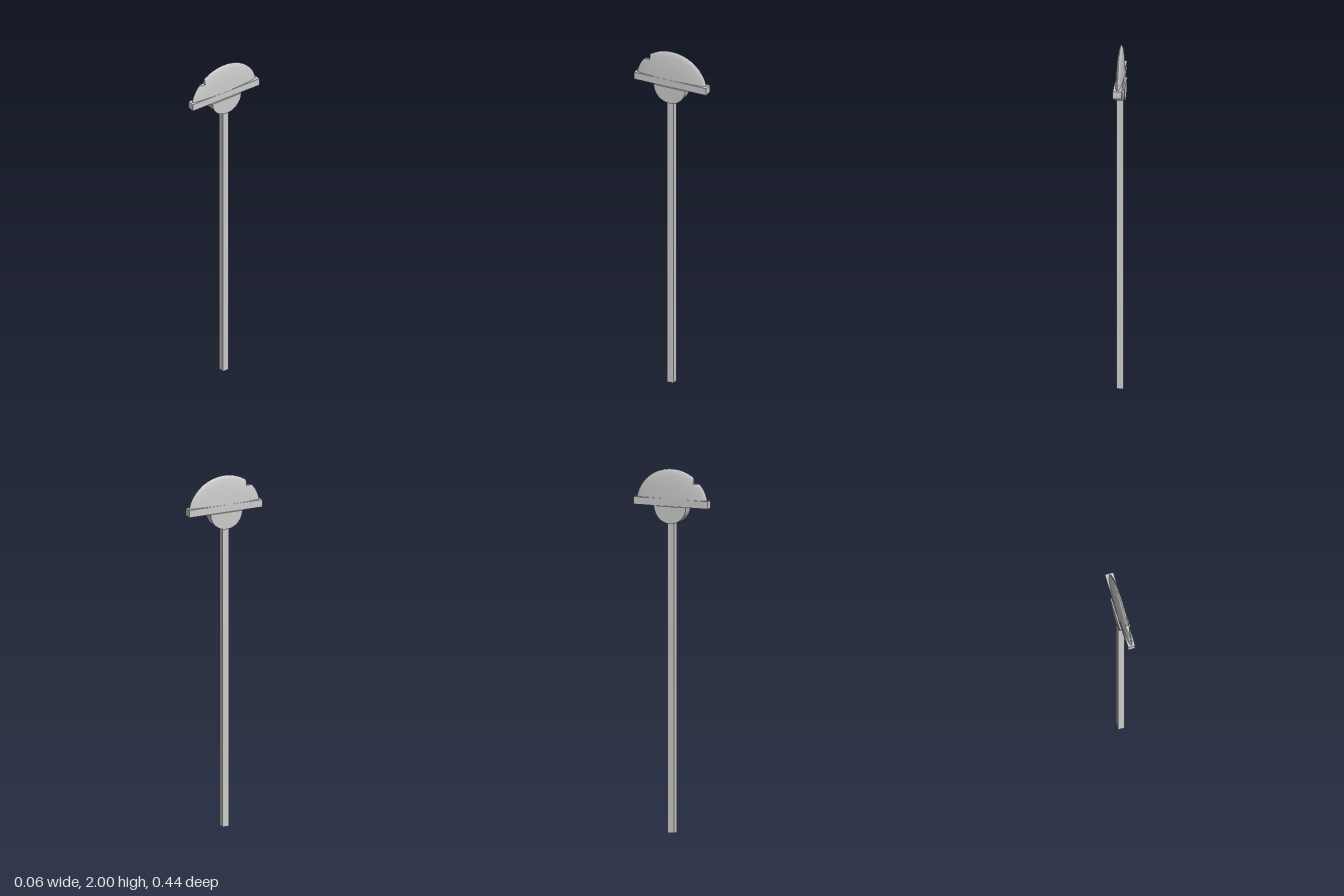
import * as THREE from 'three';
import { toCreasedNormals } from 'three/addons/utils/BufferGeometryUtils.js';

const grey = new THREE.MeshStandardMaterial({ color: 0xcccccc, side: THREE.DoubleSide });

function add(group, name, geometry, x = 0, y = 0, z = 0) {
  const mesh = new THREE.Mesh(geometry, grey);
  mesh.name = name;
  mesh.position.set(x, y, z);
  group.add(mesh);
}

// Thin half-ellipsoid lofted along z, with a flat step cut near the front
function bladeGeometry() {
  const W = 0.022, H = 0.2, L = 0.214, STEP = 0.127, NOTCH = 0.13, SIDE = 24, RINGS = 48;
  const stations = [];
  for (let i = 0; i <= RINGS; i++) {
    const z = -L * Math.cos((Math.PI * i) / RINGS);
    stations.push({ z, cut: z > NOTCH });
  }
  stations.push({ z: NOTCH, cut: false }, { z: NOTCH + 1e-5, cut: true });
  stations.sort((a, b) => a.z - b.z);

  const positions = [], index = [], row = 2 * SIDE + 2;
  for (const { z, cut } of stations) {
    const s = Math.sqrt(Math.max(0, 1 - (z / L) ** 2));
    const top = cut && H * s > STEP ? Math.asin(STEP / (H * s)) : Math.PI / 2;
    for (let j = 0; j < row; j++) {
      const right = j <= SIDE;
      const a = (top * (right ? j : row - 1 - j)) / SIDE;
      positions.push((right ? 1 : -1) * W * s * Math.cos(a), H * s * Math.sin(a), z);
    }
  }
  for (let i = 0; i < stations.length - 1; i++) {
    for (let j = 0; j < row - 1; j++) {
      const a = i * row + j, c = a + row;
      index.push(a, a + 1, c, a + 1, c + 1, c);
    }
  }
  const g = new THREE.BufferGeometry();
  g.setAttribute('position', new THREE.Float32BufferAttribute(positions, 3));
  g.setIndex(index);
  return toCreasedNormals(g, Math.PI / 4);
}

export function createModel() {
  const group = new THREE.Group();
  group.name = 'poleWithCrescentHead';

  // Square pole
  add(group, 'pole', new THREE.BoxGeometry(0.038, 1.72, 0.038), 0, 0.86, 0);

  // Half-round hub under the bar
  const half = new THREE.Shape();
  half.moveTo(-0.095, 0);
  half.absarc(0, 0, 0.095, Math.PI, Math.PI * 2, false);
  half.closePath();
  const hub = new THREE.ExtrudeGeometry(half, { depth: 0.061, bevelEnabled: false, curveSegments: 32 });
  hub.translate(0, 0, -0.0305);
  hub.rotateY(Math.PI / 2);
  add(group, 'hub', toCreasedNormals(hub, Math.PI / 6), 0, 1.796, 0);

  // Cross bar, slightly narrower at the front
  const bar = new THREE.BoxGeometry(0.04, 0.042, 0.44);
  const p = bar.attributes.position;
  for (let i = 0; i < p.count; i++) if (p.getZ(i) < 0) p.setX(i, p.getX(i) * 1.22);
  bar.computeVertexNormals();
  add(group, 'crossBar', bar, 0, 1.816, 0);

  // Domed blade
  add(group, 'blade', bladeGeometry(), 0, 1.8, 0);

  return group;
}
